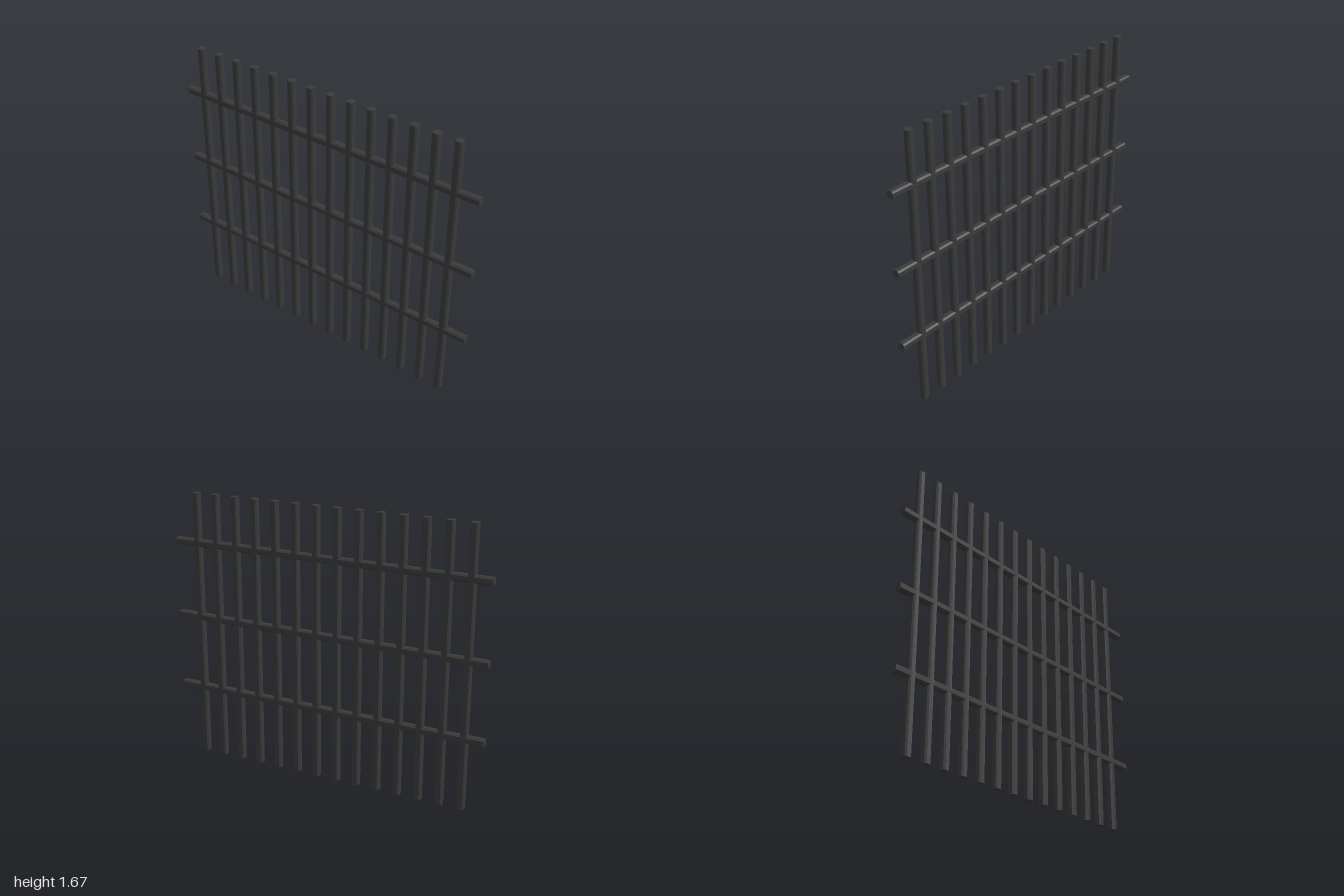
import * as THREE from 'three';

const THICK = 0.044;
const CHAMFER = 0.009;
const HEIGHT = 1.675;

// Square bar with chamfered long edges, running along +z from the origin
function barGeometry(length) {
  const h = THICK / 2, c = h - CHAMFER;
  const section = new THREE.Shape([
    [h, -c], [h, c], [c, h], [-c, h], [-h, c], [-h, -c], [-c, -h], [c, -h],
  ].map(([x, y]) => new THREE.Vector2(x, y)));
  return new THREE.ExtrudeGeometry(section, { depth: length, bevelEnabled: false });
}

export function createModel() {
  const group = new THREE.Group();
  group.name = 'barredGrate';
  const iron = new THREE.MeshStandardMaterial({ color: 0x3a3a3a });

  // Evenly spaced upright bars
  const uprightGeometry = barGeometry(HEIGHT).rotateX(-Math.PI / 2);
  const count = 14, first = 0.85, last = -0.88;
  for (let i = 0; i < count; i++) {
    const bar = new THREE.Mesh(uprightGeometry, iron);
    bar.name = `uprightBar${i + 1}`;
    bar.position.z = first + (last - first) * i / (count - 1);
    group.add(bar);
  }

  // Three cross rails passing through the uprights
  const railGeometry = barGeometry(2).translate(0, 0, -1);
  [0.44, 0.905, 1.37].forEach((y, i) => {
    const rail = new THREE.Mesh(railGeometry, iron);
    rail.name = `crossRail${i + 1}`;
    rail.position.y = y;
    group.add(rail);
  });

  return group;
}
